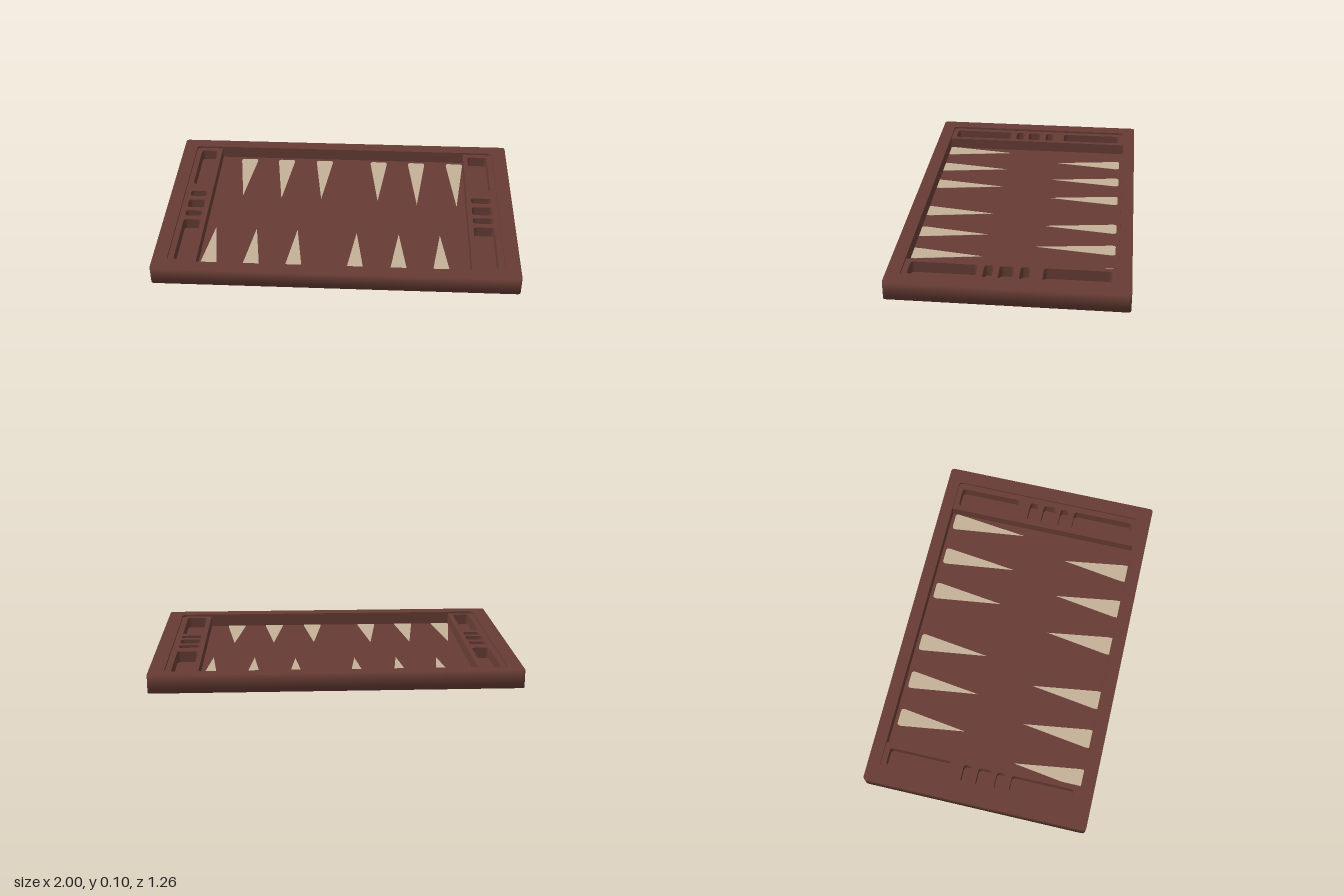
import * as THREE from 'three';

const wood = new THREE.MeshStandardMaterial({ color: 0x663c34 });
wood.name = 'reddish brown wood';
const inlay = new THREE.MeshStandardMaterial({ color: 0xc4b098 });
inlay.name = 'beige inlay';

// Rounded rectangle in plan, given by its x and z limits
function roundedRect(x0, x1, z0, z1, r, target = new THREE.Shape()) {
  const a = -z1, b = -z0; // plan y is -z
  target.moveTo(x0 + r, a);
  target.lineTo(x1 - r, a);
  target.quadraticCurveTo(x1, a, x1, a + r);
  target.lineTo(x1, b - r);
  target.quadraticCurveTo(x1, b, x1 - r, b);
  target.lineTo(x0 + r, b);
  target.quadraticCurveTo(x0, b, x0, b - r);
  target.lineTo(x0, a + r);
  target.quadraticCurveTo(x0, a, x0 + r, a);
  return target;
}

// Horizontal slab from a plan shape between two heights
function slab(name, shape, y0, y1, material) {
  const geo = new THREE.ExtrudeGeometry(shape, { depth: y1 - y0, bevelEnabled: false, curveSegments: 5 });
  geo.rotateX(-Math.PI / 2).translate(0, y0, 0);
  const mesh = new THREE.Mesh(geo, material);
  mesh.name = name;
  return mesh;
}

// Softens the outer side walls so they shade as a gentle round
function softenOuterWall(mesh) {
  const p = mesh.geometry.attributes.position, n = mesh.geometry.attributes.normal;
  const v = new THREE.Vector3();
  for (let i = 0; i < p.count; i++) {
    const outer = Math.abs(p.getX(i)) > 0.97 || Math.abs(p.getZ(i)) > 0.6;
    v.fromBufferAttribute(n, i);
    if (!outer || Math.abs(v.y) > 0.5) continue;
    v.y = (p.getY(i) - 0.05) / 0.05;
    v.normalize();
    n.setXYZ(i, v.x, v.y, v.z);
  }
  return mesh;
}

const FLOOR = 0.025, TOP = 0.1, STRIP = 0.088;
const outline = () => roundedRect(-1, 1, -0.63, 0.63, 0.02);

export function createModel() {
  const board = new THREE.Group();
  board.name = 'backgammonBoard';

  // Floor and surrounding rim
  board.add(softenOuterWall(slab('floor', outline(), 0.002, FLOOR, wood)));
  const rimShape = outline();
  rimShape.holes.push(roundedRect(-0.92, 0.917, -0.56, 0.555, 0.025, new THREE.Path()));
  board.add(softenOuterWall(slab('rim', rimShape, FLOOR, TOP, wood)));

  // Side strips with pockets for pieces and dice
  const pockets = [[-0.53, -0.175], [-0.105, -0.055], [-0.02, 0.055], [0.085, 0.135], [0.17, 0.525]];
  const strips = [
    ['rightStrip', -0.93, -0.762, -0.888, -0.79],
    ['leftStrip', 0.738, 0.927, 0.765, 0.883],
  ];
  for (const [name, x0, x1, px0, px1] of strips) {
    const shape = roundedRect(x0, x1, -0.565, 0.56, 0.001);
    for (const [z0, z1] of pockets) {
      shape.holes.push(roundedRect(px0, px1, z0, z1, 0.02, new THREE.Path()));
    }
    board.add(slab(name, shape, FLOOR, STRIP, wood));
  }

  // Pale points, back row then front row: centre x and tip z
  const points = new THREE.Group();
  points.name = 'points';
  const backRow = [[-0.59, -0.155], [-0.358, -0.135], [-0.12, -0.14], [0.217, -0.135], [0.45, -0.108], [0.685, -0.1]];
  const frontRow = [[-0.707, 0.16], [-0.472, 0.16], [-0.237, 0.16], [0.103, 0.175], [0.343, 0.175], [0.578, 0.175]];
  for (const [x, tip] of backRow) {
    const s = new THREE.Shape();
    s.moveTo(x, -tip);
    s.lineTo(x + 0.05, 0.515);
    s.quadraticCurveTo(x + 0.053, 0.54, x + 0.035, 0.54);
    s.lineTo(x - 0.035, 0.54);
    s.quadraticCurveTo(x - 0.053, 0.54, x - 0.05, 0.515);
    points.add(slab('backPoint', s, FLOOR, FLOOR + 0.002, inlay));
  }
  for (const [x, tip] of frontRow) {
    const s = new THREE.Shape();
    s.moveTo(x, -tip);
    s.lineTo(x - 0.053, -0.53);
    s.lineTo(x - 0.053, -0.554);
    s.lineTo(x + 0.053, -0.554);
    s.lineTo(x + 0.053, -0.53);
    points.add(slab('frontPoint', s, FLOOR, FLOOR + 0.002, inlay));
  }
  board.add(points);

  // Chequered squares on the underside
  const squares = new THREE.Group();
  squares.name = 'undersideSquares';
  for (let c = 0; c < 8; c++) {
    for (let r = c % 2; r < 8; r += 2) {
      const x = 0.53 - c * 0.1525, z = 0.405 - r * 0.117;
      const s = roundedRect(x - 0.075, x + 0.075, z - 0.058, z + 0.058, 0.025);
      squares.add(slab('square', s, 0, 0.002, inlay));
    }
  }
  board.add(squares);
  return board;
}
